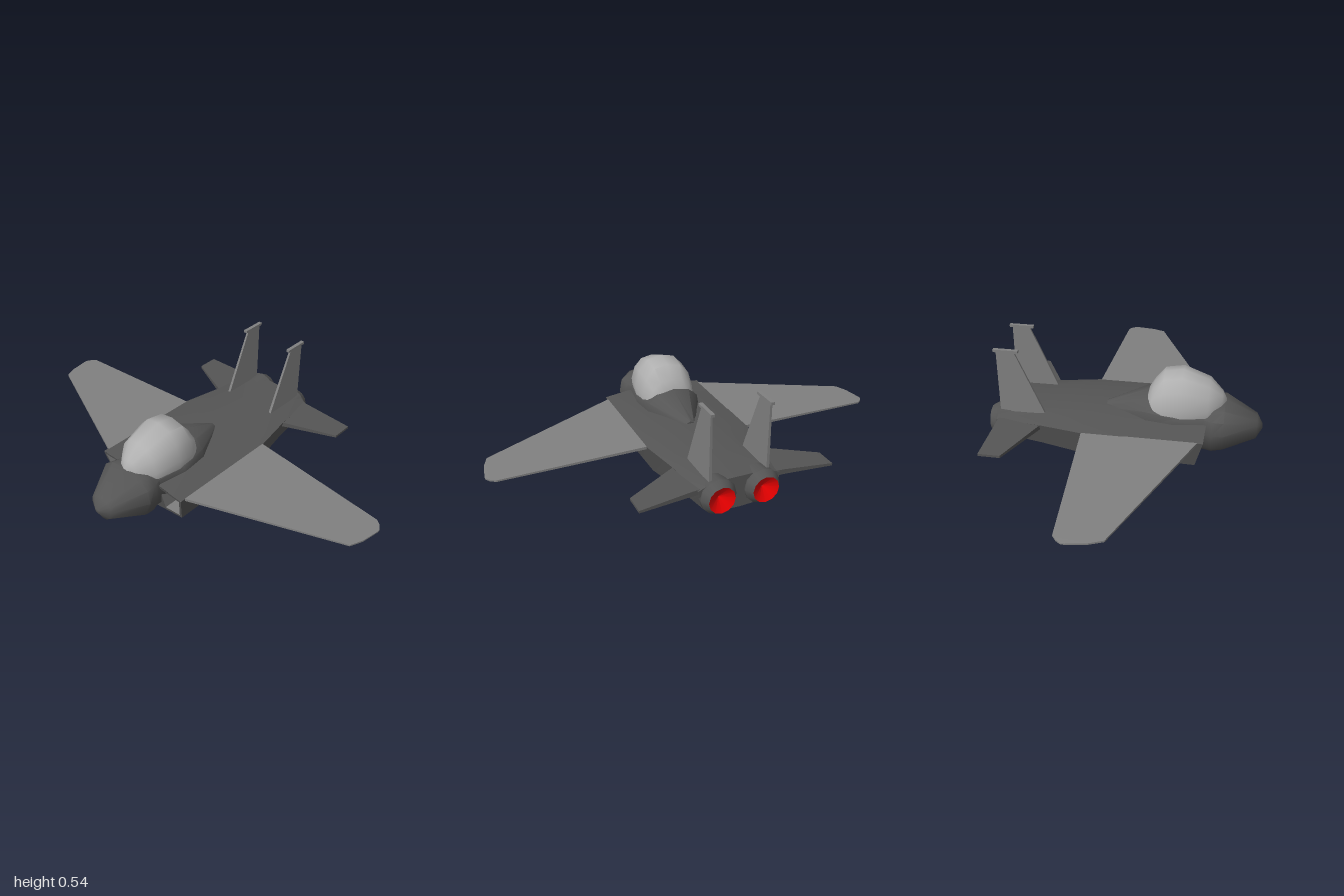
import * as THREE from 'three';
import { toCreasedNormals } from 'three/addons/utils/BufferGeometryUtils.js';

const paint = (name, color, side = THREE.FrontSide) => {
  const m = new THREE.MeshStandardMaterial({ color, side });
  m.name = name;
  return m;
};

// Skin closed rings of [x, y, z]; side = -1 mirrors across x.
function loft(rings, { side = 1, capStart = true, capEnd = true, crease = 0.6 } = {}) {
  const n = rings[0].length;
  const pos = [], index = [];
  const all = rings.map(r => {
    const q = r.map(([x, y, z]) => [x * side, y, z]);
    return side < 0 ? q.reverse() : q;
  });
  all.forEach(r => r.forEach(p => pos.push(...p)));
  for (let i = 0; i < all.length - 1; i++) {
    for (let j = 0; j < n; j++) {
      const a = i * n + j, b = i * n + (j + 1) % n;
      index.push(a, b, a + n, b, b + n, a + n);
    }
  }
  const cap = (i, flip) => {
    const c = pos.length / 3;
    pos.push(...[0, 1, 2].map(k => all[i].reduce((s, p) => s + p[k], 0) / n));
    for (let j = 0; j < n; j++) {
      const a = i * n + j, b = i * n + (j + 1) % n;
      flip ? index.push(c, b, a) : index.push(c, a, b);
    }
  };
  if (capStart) cap(0, true);
  if (capEnd) cap(all.length - 1, false);
  const g = new THREE.BufferGeometry();
  g.setAttribute('position', new THREE.Float32BufferAttribute(pos, 3));
  g.setIndex(index);
  return toCreasedNormals(g, crease);
}

// Complete a half section (top centre, right side, bottom centre) by symmetry.
const symmetric = half => [...half, ...half.slice(1, -1).reverse().map(([x, y, z]) => [-x, y, z])];

// Flat aerofoil ring at span x.
const foil = ([x, le, te, y, t]) => [[x, y + t, te], [x, y + t, le], [x, y - t, le], [x, y - t, te]];

export function createModel() {
  const dark = paint('dark grey', 0x555555);
  const mid = paint('mid grey', 0x808080);
  const glass = paint('canopy grey', 0xb0b0b0);
  const red = paint('exhaust red', 0xff0000, THREE.DoubleSide);

  const model = new THREE.Group();
  model.name = 'jet';
  const add = (name, geometry, material, parent = model) => {
    const m = new THREE.Mesh(geometry, material);
    m.name = name;
    parent.add(m);
    return m;
  };

  // Nose, cockpit tub and the fairing behind the canopy: z, half width, top, bottom
  const noseShape = [[0, 1], [0.6, 0.94], [0.92, 0.8], [1, 0.55], [0.78, 0.22], [0.4, 0.05], [0, 0]];
  const nose = [
    [0.667, 0.012, 0.165, 0.145], [0.638, 0.065, 0.213, 0.09], [0.48, 0.157, 0.29, 0.022],
    [0.425, 0.146, 0.288, 0.005], [0.385, 0.13, 0.288, 0.008], [0.24, 0.155, 0.295, 0.016],
    [0.105, 0.142, 0.314, 0.03], [-0.104, 0.03, 0.23, 0.1],
  ].map(([z, w, t, b]) => symmetric(noseShape.map(([x, y]) => [x * w, b + (t - b) * y, z])));
  add('noseFuselage', loft(nose, { crease: 0.75 }), dark);

  // Canopy bubble: z, half width, base, top
  const bubbleShape = [[0, 1], [0.5, 0.93], [0.84, 0.66], [1, 0.25], [0.97, 0], [0, 0]];
  const bubble = [
    [0.485, 0.015, 0.26, 0.292], [0.464, 0.055, 0.25, 0.33], [0.4, 0.115, 0.235, 0.39],
    [0.27, 0.142, 0.235, 0.436], [0.18, 0.138, 0.225, 0.42], [0.13, 0.118, 0.22, 0.357],
    [0.105, 0.09, 0.25, 0.314],
  ].map(([z, w, b, t]) => symmetric(bubbleShape.map(([x, y]) => [x * w, b + (t - b) * y, z])));
  add('canopy', loft(bubble, { crease: 0.9 }), glass);

  // Wide rear fuselage with a raked intake front
  const rake = y => 0.354 + (y - 0.036) * 0.25;
  const hull = (z, yt, yb, w, ys, wl, yl) => symmetric(
    [[0, yt], [0.13, yt], [w, ys], [wl, yl], [0.13, yb + 0.006], [0, yb]]
      .map(([x, y]) => [x, y, z === null ? rake(y) : z]));
  add('mainFuselage', loft([
    hull(null, 0.208, 0.012, 0.265, 0.193, 0.235, 0.05),
    hull(0, 0.22, 0.022, 0.265, 0.193, 0.235, 0.055),
    hull(-0.19, 0.22, 0.032, 0.265, 0.193, 0.235, 0.06),
    hull(-0.4, 0.216, 0.044, 0.225, 0.19, 0.2, 0.075),
    hull(-0.622, 0.214, 0.057, 0.2, 0.185, 0.175, 0.09),
  ], { capStart: false, crease: 0.35 }), dark);

  for (const side of [1, -1]) {
    const half = new THREE.Group();
    half.name = side > 0 ? 'leftSide' : 'rightSide';
    model.add(half);

    // Intake rim and recessed duct
    const raked = pts => pts.map(([x, y]) => [x, y, rake(y)]);
    const outer = raked([[0.06, 0.208], [0.265, 0.193], [0.235, 0.05], [0.06, 0.014]]);
    const inner = raked([[0.125, 0.19], [0.25, 0.181], [0.224, 0.062], [0.125, 0.045]]);
    const deep = inner.map(([x, y, z]) => [x, y, z - 0.12]);
    add('intakeRim', loft([inner, outer], { side, capStart: false, capEnd: false }), dark, half);
    add('intakeDuct', loft([deep, inner], { side, capEnd: false }), mid, half);

    // Main wing with clipped tip: span, leading z, trailing z, height, half thickness
    add('wing', loft([
      [0.25, 0.37, -0.187, 0.187, 0.007], [0.96, 0.062, -0.15, 0.161, 0.004],
      [0.985, 0.0, -0.13, 0.16, 0.004], [1.0, -0.09, -0.108, 0.159, 0.003],
    ].map(foil), { side, crease: 0.4 }), mid, half);

    // Tailplane
    add('tailplane', loft([
      [0.15, -0.365, -0.615, 0.178, 0.014], [0.225, -0.4, -0.615, 0.176, 0.012],
      [0.472, -0.522, -0.628, 0.161, 0.006],
    ].map(foil), { side, crease: 0.4 }), dark, half);

    // Tail fin and its tip rail
    const finRing = (y, le, te, t) => [[0.14 - t, y, le], [0.14 + t, y, le], [0.14 + t, y, te], [0.14 - t, y, te]];
    add('tailFin', loft([finRing(0.2, -0.385, -0.613, 0.007), finRing(0.532, -0.525, -0.613, 0.005)], { side }), mid, half);
    add('finTipRail', new THREE.BoxGeometry(0.018, 0.013, 0.122), mid, half).position.set(0.14 * side, 0.536, -0.566);

    // Engine nozzle with glowing bowl
    const barrel = new THREE.CylinderGeometry(0.086, 0.08, 0.07, 12, 1, true).rotateX(-Math.PI / 2);
    add('engineBarrel', barrel, dark, half).position.set(0.107 * side, 0.142, -0.595);
    const cone = new THREE.CylinderGeometry(0.064, 0.086, 0.037, 12, 1, true).rotateX(-Math.PI / 2);
    add('nozzle', cone, dark, half).position.set(0.107 * side, 0.142, -0.6485);
    const bowl = new THREE.CylinderGeometry(0.064, 0.002, 0.04, 12, 1, true).rotateX(-Math.PI / 2);
    add('exhaust', bowl, red, half).position.set(0.107 * side, 0.142, -0.647);
  }
  return model;
}
